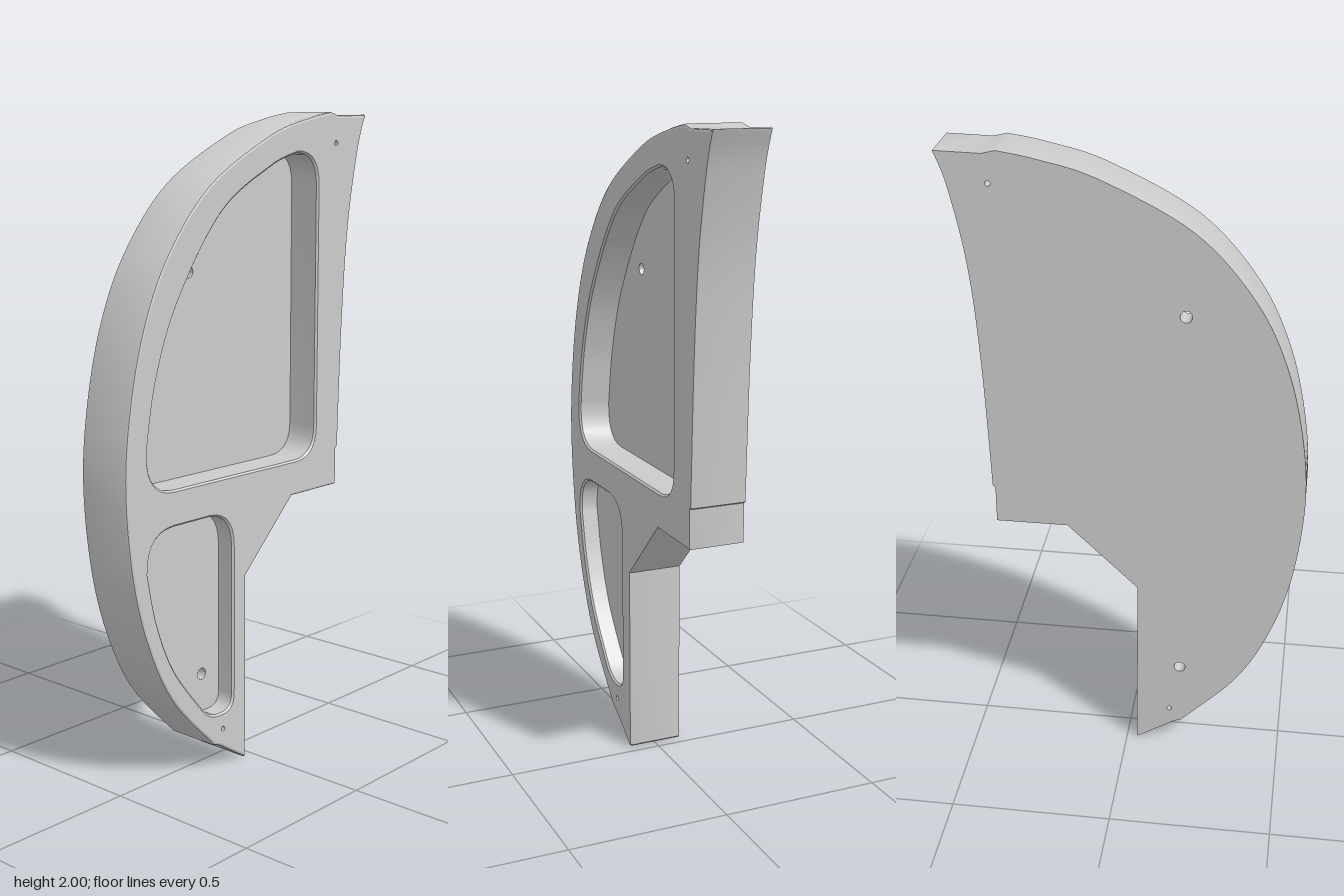
import * as THREE from 'three';
import { toCreasedNormals } from 'three/addons/utils/BufferGeometryUtils.js';

const HALF = 0.0875; // half of the panel thickness
const BEVEL = 0.008;
const V = (z, y) => new THREE.Vector2(-z, y);

// Profile given as [kind, z, y, z, y, ...]: M move, L line, Q rounded corner, S spline
function outline(steps, clockwise) {
  const path = new THREE.Path();
  for (const [kind, ...n] of steps) {
    const p = [];
    for (let i = 0; i < n.length; i += 2) p.push(V(n[i], n[i + 1]));
    if (kind === 'M') path.moveTo(p[0].x, p[0].y);
    if (kind === 'L') path.lineTo(p[0].x, p[0].y);
    if (kind === 'Q') path.quadraticCurveTo(p[0].x, p[0].y, p[1].x, p[1].y);
    if (kind === 'S') path.splineThru(p);
  }
  return orient(path.getPoints(7), clockwise);
}

function orient(pts, clockwise) {
  if (pts[0].distanceTo(pts[pts.length - 1]) < 1e-5) pts.pop();
  if (THREE.ShapeUtils.isClockWise(pts) !== clockwise) pts.reverse();
  return pts;
}

const circle = (z, y, r) =>
  orient(new THREE.Path().absarc(-z, y, r, 0, Math.PI * 2).getPoints(20), true);

// Shift a loop towards the solid, which always lies on its left
function offset(pts, d) {
  return pts.map((p, i) => {
    const a = pts[(i + pts.length - 1) % pts.length], b = pts[(i + 1) % pts.length];
    const u = p.clone().sub(a).normalize(), v = b.clone().sub(p).normalize();
    const n = new THREE.Vector2(-u.y - v.y, u.x + v.x).normalize();
    const miter = Math.max(0.4, n.dot(new THREE.Vector2(-u.y, u.x)));
    return p.clone().addScaledVector(n, d / miter);
  });
}

// Wall running through rings of [loop, height]
function wall(rings) {
  const pos = [], idx = [], n = rings[0][0].length;
  for (const [loop, h] of rings) for (const p of loop) pos.push(p.x, p.y, h);
  for (let r = 0; r < rings.length - 1; r++) {
    for (let i = 0; i < n; i++) {
      const a = r * n + i, b = r * n + (i + 1) % n;
      idx.push(a, b, b + n, a, b + n, a + n);
    }
  }
  const g = new THREE.BufferGeometry();
  g.setAttribute('position', new THREE.Float32BufferAttribute(pos, 3));
  g.setIndex(idx);
  return toCreasedNormals(g, 0.45);
}

// Flat face with holes, optionally turned to the back
function face(loop, holes, h, back = false) {
  const shape = new THREE.Shape(loop);
  shape.holes = holes.map((pts) => new THREE.Path(pts));
  const g = new THREE.ShapeGeometry(shape);
  if (back) {
    g.index.array.reverse();
    g.computeVertexNormals();
  }
  return g.translate(0, 0, h);
}

export function createModel() {
  const group = new THREE.Group();
  const body = new THREE.Group();
  body.name = 'sidePanel';
  body.rotation.y = Math.PI / 2;
  group.add(body);
  const material = new THREE.MeshStandardMaterial({ color: 0xcccccc });
  const add = (name, geometry) => {
    const mesh = new THREE.Mesh(geometry, material);
    mesh.name = name;
    body.add(mesh);
  };

  // Outer silhouette: bowed front, hooked top, stepped rear
  const rim = outline([
    ['M', 0.037, 0], ['L', 0.155, 0.075], ['L', 0.178, 0.083],
    ['S', 0.35, 0.265, 0.45, 0.45, 0.515, 0.67, 0.543, 0.94, 0.523, 1.17, 0.465, 1.40,
      0.365, 1.60, 0.19, 1.79, -0.075, 1.93, -0.25, 1.98, -0.365, 2],
    ['L', -0.405, 1.99], ['L', -0.542, 1.993],
    ['S', -0.505, 1.885, -0.46, 1.65, -0.435, 1.345, -0.419, 0.935],
    ['L', -0.411, 0.93], ['L', -0.411, 0.81], ['L', -0.187, 0.81],
    ['L', 0.033, 0.597], ['L', 0.033, 0.005],
  ], false);

  // Recessed pockets, each with a drilled hole in its floor
  const pockets = [
    {
      name: 'upperPocket', depth: 0.105, drill: circle(0.172, 1.535, 0.018),
      loop: outline([
        ['M', -0.30, 1.02], ['L', -0.30, 1.78], ['Q', -0.298, 1.88, -0.20, 1.876],
        ['S', -0.075, 1.835, 0.14, 1.71, 0.325, 1.465, 0.415, 1.25, 0.455, 1.05],
        ['Q', 0.46, 0.925, 0.35, 0.923], ['L', -0.20, 0.923], ['Q', -0.30, 0.923, -0.30, 1.02],
      ], true),
    },
    {
      name: 'lowerPocket', depth: 0.06, drill: circle(0.172, 0.30, 0.018),
      loop: outline([
        ['M', 0.457, 0.69], ['Q', 0.46, 0.81, 0.35, 0.813], ['L', 0.20, 0.813],
        ['Q', 0.094, 0.81, 0.094, 0.70], ['L', 0.094, 0.23], ['Q', 0.094, 0.18, 0.14, 0.18],
        ['Q', 0.19, 0.175, 0.225, 0.21], ['S', 0.35, 0.37, 0.42, 0.53, 0.457, 0.69],
      ], true),
    },
  ];
  // Small pin holes through the full thickness
  const pins = [circle(-0.39, 1.905, 0.008), circle(0.14, 0.127, 0.008)];

  const frontRim = offset(rim, BEVEL);
  add('outerWall', wall([
    [rim, -HALF], [rim, HALF - BEVEL], [offset(rim, BEVEL * 0.3), HALF - BEVEL * 0.3], [frontRim, HALF],
  ]));
  add('backFace', face(rim, [...pockets.map((p) => p.drill), ...pins], -HALF, true));
  add('outerFace', face(frontRim, [...pockets.map((p) => offset(p.loop, 0.006)), ...pins], HALF));

  for (const { name, depth, drill, loop } of pockets) {
    const floor = HALF - depth;
    add(name + 'Wall', wall([[loop, floor], [loop, HALF - 0.006], [offset(loop, 0.006), HALF]]));
    add(name + 'Floor', face([...loop].reverse(), [drill], floor));
    add(name + 'Hole', wall([[drill, -HALF], [drill, floor]]));
  }
  for (const pin of pins) add('pinHole', wall([[pin, -HALF], [pin, HALF]]));
  return group;
}
